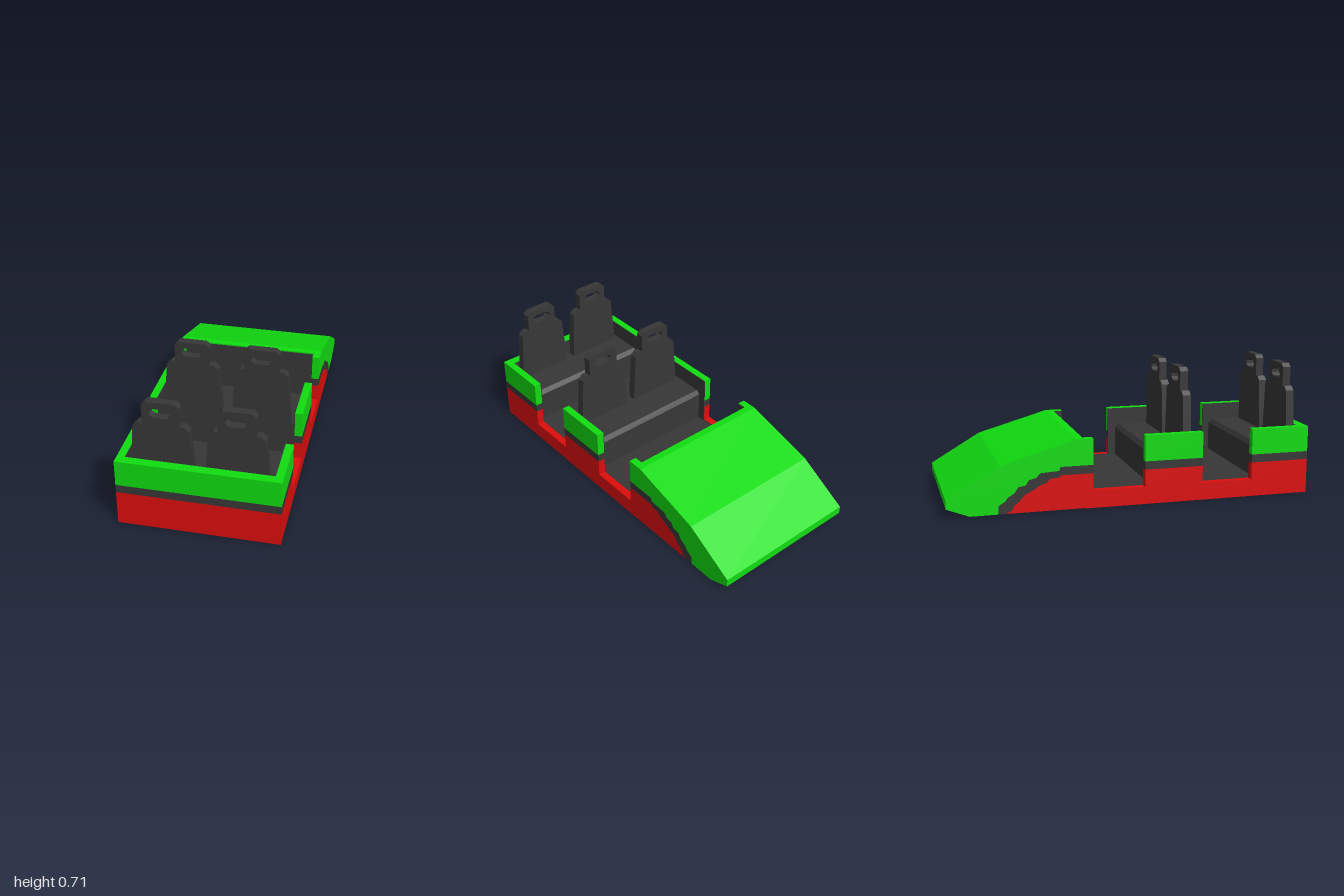
import * as THREE from 'three';

const W = 0.42;   // outer half width
const IN = 0.375; // inner half width
const LINER = 0.004;

export function createModel() {
  const car = new THREE.Group();
  car.name = 'coasterCar';
  const mat = (name, color) => new THREE.MeshStandardMaterial({ name, color });
  const red = mat('red', 0xdd0d0d);
  const green = mat('green', 0x10dd10);
  const dark = mat('charcoal', 0x373737);

  const add = (name, geo, material) => {
    const m = new THREE.Mesh(geo, material);
    m.name = name;
    car.add(m);
    return m;
  };
  // Box given by its limits
  const box = (name, material, x0, x1, y0, y1, z0, z1) => {
    const g = new THREE.BoxGeometry(x1 - x0, y1 - y0, z1 - z0);
    g.translate((x0 + x1) / 2, (y0 + y1) / 2, (z0 + z1) / 2);
    return add(name, g, material);
  };
  // Side profile of [z, y] points, extruded from x0 to x1
  const profile = (name, material, pts, x0, x1) => {
    const shape = new THREE.Shape(pts.map(([z, y]) => new THREE.Vector2(-z, y)));
    const g = new THREE.ExtrudeGeometry(shape, { depth: x1 - x0, bevelEnabled: false });
    g.rotateY(Math.PI / 2);
    g.translate(x0, 0, 0);
    return add(name, g, material);
  };

  // Colour bands of the body, from bottom to top
  const bands = [
    ['lower', red, 0, 0.19],
    ['stripe', dark, 0.19, 0.235],
    ['upper', green, 0.235, 0.377],
  ];
  // Side panels standing between the doorways
  const panels = [[0.67, 0.95], [0.385 - 0.325, 0.385], [-0.275, -0.225]];
  for (const s of [-1, 1]) {
    const span = (a, b) => (s > 0 ? [a, b] : [-b, -a]);
    const [w0, w1] = span(IN + LINER, W);
    const [l0, l1] = span(IN, IN + LINER);
    box('sideSill', red, w0, w1, 0, 0.095, -0.275, 0.95);
    box('sillLiner', dark, l0, l1, 0, 0.095, -0.275, 0.95);
    for (const [z0, z1] of panels) {
      for (const [name, m, y0, y1] of bands) {
        box(name + 'SidePanel', m, w0, w1, Math.max(y0, 0.095), y1, z0, z1);
      }
      box('panelLiner', dark, l0, l1, 0.095, 0.375, z0, z1);
    }
  }

  // End wall
  for (const [name, m, y0, y1] of bands) box(name + 'EndWall', m, -W, W, y0, y1, 0.95, 1);
  box('endWallLiner', dark, -IN, IN, 0.09, 0.375, 0.95 - LINER, 0.95);

  // Sloping nose: red core, curved stripe, green shell
  const B = 0.003;
  const lowCurve = [[-0.4, 0.19], [-0.41, 0.178], [-0.455, 0.176], [-0.475, 0.155], [-0.51, 0.144],
    [-0.545, 0.12], [-0.59, 0.1], [-0.62, 0.065], [-0.65, 0.043], [-0.66, 0.02], [-0.69, B]];
  const highCurve = [[-0.4, 0.235], [-0.41, 0.214], [-0.455, 0.212], [-0.51, 0.208], [-0.53, 0.185],
    [-0.57, 0.175], [-0.585, 0.148], [-0.625, 0.142], [-0.645, 0.112], [-0.68, 0.09],
    [-0.695, 0.07], [-0.73, 0.048], [-0.73, B]];
  const back = -0.275;
  profile('noseCore', red, [[back, B], [back, 0.19], ...lowCurve], -W, W);
  profile('noseStripe', dark, [[back, 0.19], [back, 0.235], ...highCurve, ...[...lowCurve].reverse()], -W, W);
  profile('noseShell', green, [[back, 0.235], [back, 0.377], [-0.315, 0.377], [-0.72, 0.26],
    [-1, 0.095], [-1, 0.05], [-0.88, B], ...[...highCurve].reverse()], -W, W);
  box('nosePanel', dark, -IN, IN, 0.09, 0.37, back, back + LINER);

  // Floor and underside
  box('floor', dark, -IN, IN, 0, 0.09, back, 0.95);
  box('noseUnderside', dark, -0.4, 0.4, 0, 0.004, -0.88, back);

  // Seat back with headrest and slot, centred on x = 0
  const half = [[0.162, 0.28], [0.156, 0.377], [0.142, 0.565], [0.117, 0.588], [0.094, 0.588],
    [0.094, 0.69], [0.072, 0.71]];
  const mirror = (pts) => [...pts, ...[...pts].reverse().map(([x, y]) => [-x, y])];
  const vecs = (pts) => pts.map(([x, y]) => new THREE.Vector2(x, y));
  const seatShape = new THREE.Shape(vecs(mirror(half)));
  seatShape.holes.push(new THREE.Path(vecs(mirror(
    [[0.037, 0.626], [0.057, 0.641], [0.057, 0.659], [0.037, 0.675]]))));
  const seatGeo = new THREE.ExtrudeGeometry(seatShape, { depth: 0.045, bevelEnabled: false });

  // Two rows: bench with a bevelled edge and a pair of seat backs
  for (const z of [0.341, 0.946]) {
    profile('bench', dark, [[z, 0.09], [z, 0.28], [z - 0.215, 0.28], [z - 0.235, 0.257],
      [z - 0.235, 0.09]], -IN, IN);
    for (const s of [-1, 1]) {
      add('seatBack', seatGeo, dark).position.set(s * 0.188, 0, z - 0.045);
    }
  }
  return car;
}
